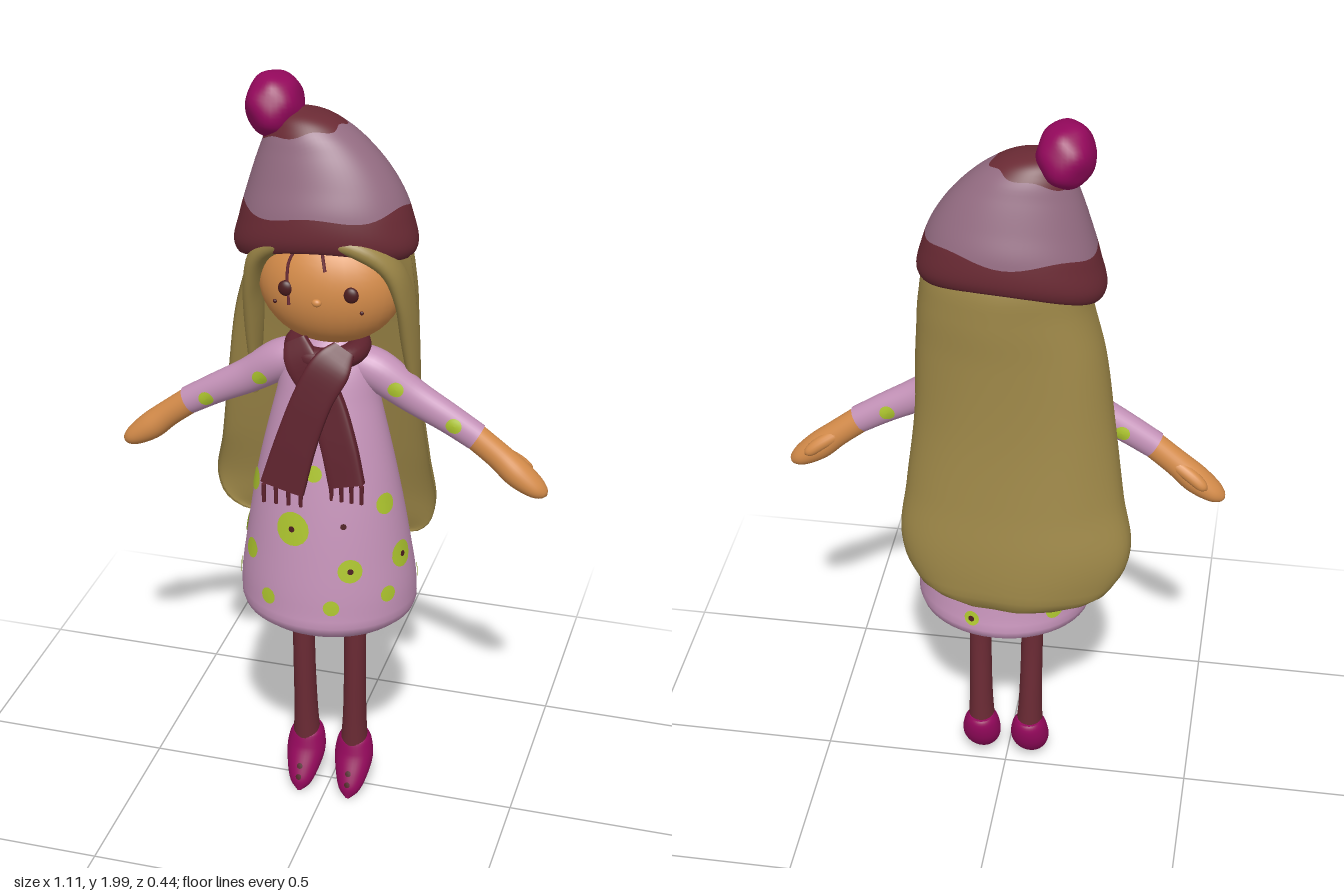
import * as THREE from 'three';

const paint = (name, color) => {
  const m = new THREE.MeshStandardMaterial({ color, side: THREE.DoubleSide });
  m.name = name;
  return m;
};
const skin = paint('skin', 0xd58c4a), blonde = paint('blonde', 0x9c8647), lilac = paint('lilac', 0xc492b8);
const mauve = paint('mauve', 0x946c82), wine = paint('wine', 0x6a2a34), berry = paint('berry', 0x94085c);
const lime = paint('lime', 0xacc42e), dark = paint('dark brown', 0x4a1c1e), scarfRed = paint('scarf red', 0x5e222d);

// Smooth interpolation of rows [t, ...values]
function track(rows) {
  const c = new THREE.CubicInterpolant(rows.map(r => r[0]), rows.flatMap(r => r.slice(1)), rows[0].length - 1);
  return t => [...c.evaluate(t)];
}

// Skin over f(t, a), where a runs around the ring
function loft(f, lo, hi, rows = 24, cols = 32, caps = true) {
  const pos = [], idx = [], at = (v, a) => (typeof v === 'function' ? v(a) : v);
  for (let i = 0; i <= rows; i++) for (let j = 0; j < cols; j++) {
    const a = j / cols * Math.PI * 2;
    pos.push(...f(THREE.MathUtils.lerp(at(lo, a), at(hi, a), i / rows), a).toArray());
  }
  for (let i = 0; i < rows; i++) for (let j = 0; j < cols; j++) {
    const k = (j + 1) % cols, p = i * cols, q = p + cols;
    idx.push(p + j, q + j, p + k, q + j, q + k, p + k);
  }
  if (caps) for (const row of [0, rows]) {
    const base = pos.length / 3, c = new THREE.Vector3();
    for (let j = 0; j < cols; j++) {
      const p = new THREE.Vector3().fromArray(pos, (row * cols + j) * 3);
      c.addScaledVector(p, 1 / cols);
      pos.push(p.x, p.y, p.z);
    }
    pos.push(c.x, c.y, c.z);
    for (let j = 0; j < cols; j++) {
      const k = (j + 1) % cols;
      if (row) idx.push(base + cols, base + k, base + j);
      else idx.push(base + cols, base + j, base + k);
    }
  }
  const g = new THREE.BufferGeometry();
  g.setAttribute('position', new THREE.Float32BufferAttribute(pos, 3));
  g.setIndex(idx);
  g.computeVertexNormals();
  return g;
}

// Tube along points [x, y, z, radius across, radius in depth]; power < 1 squares the section
function sweep(keys, power = 1) {
  const at = track(keys.map((k, i) => [i, ...k])), end = keys.length - 1;
  const sq = v => Math.sign(v) * Math.abs(v) ** power;
  return (t, a) => {
    const [x, y, z, rn, rb] = at(t);
    const p0 = at(Math.max(0, t - 0.05)), p1 = at(Math.min(end, t + 0.05));
    const T = new THREE.Vector3(p1[0] - p0[0], p1[1] - p0[1], p1[2] - p0[2]).normalize();
    const N = T.clone().cross(new THREE.Vector3(0, 0, 1)).normalize(), B = N.clone().cross(T);
    return new THREE.Vector3(x, y, z).addScaledVector(N, rn * sq(Math.cos(a))).addScaledVector(B, rb * sq(Math.sin(a)));
  };
}

// Thin round spot that follows the surface f at (t0, a0)
function spot(f, t0, a0, r, lift = 0.004) {
  const e = 0.01, p = f(t0, a0);
  const ft = f(t0 + e, a0).sub(p).divideScalar(e), fa = f(t0, a0 + e).sub(p).divideScalar(e);
  const n = ft.clone().cross(fa).normalize().multiplyScalar(lift);
  return loft((s, b) => f(t0 + r * s * Math.cos(b) / ft.length(), a0 + r * s * Math.sin(b) / fa.length()).add(n),
    0.001, 1, 3, 16, false);
}

export function createModel() {
  const model = new THREE.Group();
  const add = (name, geo, mat) => {
    const m = new THREE.Mesh(geo, mat);
    m.name = name;
    model.add(m);
    return m;
  };
  const ball = (name, mat, x, y, z, rx, ry, rz) => {
    const m = add(name, new THREE.SphereGeometry(1, 32, 24), mat);
    m.position.set(x, y, z);
    m.scale.set(rx, ry, rz);
    return m;
  };

  // Dress: rows of height, half width, depth centre, half depth
  const dressAt = track([[0.59, 0.2, 0.015, 0.18], [0.61, 0.222, 0.015, 0.203], [0.66, 0.228, 0.018, 0.2], [0.8, 0.212, 0.024, 0.178],
    [1, 0.178, 0.03, 0.138], [1.2, 0.132, 0.025, 0.096], [1.31, 0.105, 0.015, 0.07], [1.36, 0.055, 0.01, 0.04]]);
  const dress = (y, a) => {
    const [rx, cz, rz] = dressAt(y);
    return new THREE.Vector3(rx * Math.cos(a), y, cz + rz * Math.sin(a));
  };
  add('dress', loft(dress, 0.59, 1.36, 40, 48), lilac);
  const dots = [[104, 0.89, 0.045], [142, 0.79, 0.027], [62, 0.79, 0.032], [75, 0.69, 0.021], [119, 0.69, 0.022],
    [17, 0.8, 0.036], [157, 0.965, 0.03], [90, 1.04, 0.022], [35, 0.71, 0.022], [28, 0.95, 0.028], [120, 1.09, 0.02],
    [185, 0.8, 0.035], [168, 0.69, 0.022], [345, 0.69, 0.022], [205, 0.95, 0.03], [230, 0.68, 0.025], [325, 0.8, 0.03], [285, 0.66, 0.02]];
  for (const [deg, y, r] of dots) add('dressDot', spot(dress, y, deg * Math.PI / 180, r), lime);
  for (const [deg, y] of [[104, 0.89], [62, 0.79], [17, 0.8], [66, 0.91], [285, 0.66]])
    add('dotCentre', spot(dress, y, deg * Math.PI / 180, 0.008, 0.007), dark);

  for (const s of [1, -1]) {
    const mirror = keys => keys.map(([x, ...k]) => [x * s, ...k]);
    // Arm with sleeve, hand and thumb
    const sleeve = sweep(mirror([[0.05, 1.3, 0.015, 0.04, 0.045], [0.12, 1.275, 0.015, 0.052, 0.05], [0.21, 1.215, 0.012, 0.045, 0.038],
      [0.3, 1.165, 0.01, 0.039, 0.033], [0.375, 1.12, 0.008, 0.036, 0.031]]));
    add('sleeve', loft(sleeve, 0, 4), lilac);
    for (const t of [1.6, 3.25]) for (const b of [100, 270])
      add('sleeveDot', spot(sleeve, t + (b > 180 ? -0.3 : 0), b * Math.PI / 180, 0.02), lime);
    add('hand', loft(sweep(mirror([[0.365, 1.126, 0.008, 0.034, 0.03], [0.43, 1.075, 0.005, 0.034, 0.032], [0.48, 1.032, 0.004, 0.036, 0.037],
      [0.525, 0.999, 0.003, 0.027, 0.032], [0.548, 0.984, 0.002, 0.015, 0.018], [0.556, 0.979, 0.002, 0.002, 0.002]])), 0, 5), skin);
    add('thumb', loft(sweep(mirror([[0.42, 1.085, -0.005, 0.018, 0.018], [0.47, 1.055, -0.02, 0.018, 0.018],
      [0.5, 1.032, -0.028, 0.014, 0.014], [0.512, 1.022, -0.03, 0.002, 0.002]])), 0, 3, 16, 16), skin);

    // Leg and drooping pointed shoe
    add('leg', loft(sweep(mirror([[0.07, 0.68, 0.017, 0.031, 0.031], [0.07, 0.45, 0.018, 0.029, 0.031],
      [0.068, 0.25, 0.01, 0.031, 0.036], [0.066, 0.13, 0.006, 0.038, 0.04]])), 0, 3), wine);
    const shoe = sweep(mirror([[0.066, 0.178, -0.002, 0.034, 0.036], [0.066, 0.155, 0, 0.046, 0.045], [0.067, 0.11, 0.012, 0.052, 0.045],
      [0.068, 0.063, 0.043, 0.042, 0.036], [0.068, 0.03, 0.068, 0.027, 0.024], [0.068, 0.011, 0.083, 0.004, 0.004]]));
    add('shoe', loft(shoe, 0, 5), berry);
    for (const t of [3, 3.7]) add('shoeButton', spot(shoe, t, Math.PI / 2, 0.008), dark);

    // Face: eye, and hair falling beside it
    ball('eye', dark, 0.081 * s, 1.51, 0.115, 0.019, 0.02, 0.011);
    add('sideLock', loft(sweep(mirror([[-0.01, 1.645, 0.112, 0.012, 0.02], [0.09, 1.625, 0.1, 0.024, 0.028], [0.16, 1.572, 0.064, 0.025, 0.04],
      [0.19, 1.48, 0.025, 0.023, 0.05], [0.2, 1.35, -0.005, 0.022, 0.04], [0.21, 1.15, -0.045, 0.008, 0.02]])), 0, 5), blonde);
  }

  // Head, nose, freckles and loose strands
  ball('head', skin, 0, 1.497, 0, 0.182, 0.16, 0.13);
  ball('nose', skin, 0, 1.487, 0.13, 0.012, 0.01, 0.009);
  for (const [x, y] of [[0.105, 1.462], [-0.112, 1.468]]) ball('freckle', dark, x, y, 0.104, 0.005, 0.005, 0.004);
  const strands = [[[-0.04, 1.635, 0.095], [-0.075, 1.575, 0.108], [-0.072, 1.47, 0.12]], [[0, 1.64, 0.1], [0.008, 1.6, 0.105], [0.018, 1.565, 0.12]]];
  for (const pts of strands)
    add('strand', new THREE.TubeGeometry(new THREE.CatmullRomCurve3(pts.map(p => new THREE.Vector3(...p))), 12, 0.004, 6), wine);

  // Long back hair, a crescent section: height, centre x, half width, z of edges, back and inside
  const hairAt = track([[0.71, -0.04, 0.12, -0.17, -0.2, -0.18], [0.735, -0.04, 0.21, -0.14, -0.215, -0.167], [0.78, -0.04, 0.265, -0.105, -0.217, -0.155],
    [0.86, -0.04, 0.293, -0.085, -0.21, -0.14], [1, -0.033, 0.275, -0.055, -0.187, -0.11], [1.2, -0.028, 0.25, -0.025, -0.16, -0.07],
    [1.4, -0.014, 0.232, 0, -0.145, -0.03], [1.52, 0, 0.212, 0.015, -0.142, 0], [1.62, 0, 0.19, 0.02, -0.13, 0.02], [1.7, 0, 0.12, 0, -0.08, 0.01]]);
  add('backHair', loft((y, a) => {
    const [cx, w, edge, back, inner] = hairAt(y), s = Math.sin(a);
    const ripple = s < 0 ? 0.003 * Math.sin(5 * a + 6 * y) * s : 0;
    return new THREE.Vector3(cx + w * Math.cos(a), y, edge + ((s > 0 ? inner : back) - edge) * Math.abs(s) ** 0.85 + ripple);
  }, 0.71, 1.7, 48, 56), blonde);

  // Leaning knitted hat in three colour bands, with a pompom
  const hatAt = track([[0, -0.015, 1.585, 0.17, 0.11], [0.05, -0.017, 1.562, 0.205, 0.132], [0.13, -0.017, 1.585, 0.227, 0.147], [0.3, -0.016, 1.66, 0.214, 0.145],
    [0.5, -0.02, 1.74, 0.187, 0.123], [0.7, -0.035, 1.82, 0.145, 0.098], [0.85, -0.055, 1.878, 0.1, 0.075], [0.95, -0.072, 1.911, 0.055, 0.043], [1, -0.08, 1.922, 0.006, 0.006]]);
  const hat = (t, a) => {
    const [cx, y, rx, rz] = hatAt(t), c = Math.cos(a), s = Math.sin(a);
    return new THREE.Vector3(cx + rx * c, y + (1 - t) * (0.05 * s * s + 0.015 * c), -0.01 + rz * s);
  };
  const brimTop = a => 0.39 - 0.1 * Math.sin(a) ** 2 + 0.02 * Math.sin(5 * a);
  const crownStart = a => 0.83 + 0.05 * Math.cos(a) + 0.012 * Math.sin(6 * a);
  add('hatBrim', loft(hat, 0, brimTop, 20, 64, false), wine);
  add('hatBody', loft(hat, brimTop, crownStart, 20, 64, false), mauve);
  add('hatCrown', loft(hat, crownStart, 1, 12, 64), wine);
  const pompom = ball('pompom', berry, -0.143, 1.921, -0.017, 0.07, 0.08, 0.083);
  const pp = pompom.geometry.attributes.position, v = new THREE.Vector3();
  for (let i = 0; i < pp.count; i++) {
    v.fromBufferAttribute(pp, i);
    v.multiplyScalar(1 + 0.05 * Math.sin(4 * v.x + 1) * Math.sin(5 * v.y) * Math.cos(4 * v.z));
    pp.setXYZ(i, v.x, v.y, v.z);
  }
  pompom.geometry.computeVertexNormals();

  // Scarf: collar, two crossing tails and fringes
  const collar = add('scarfCollar', new THREE.TorusGeometry(0.078, 0.03, 16, 40), scarfRed);
  collar.rotation.x = Math.PI / 2 + 0.1;
  collar.scale.set(1, 0.95, 0.95);
  collar.position.set(0, 1.336, 0.032);
  const tails = [
    [[0.06, 1.36, 0.1, 0.03, 0.012], [0.035, 1.32, 0.13, 0.05, 0.015], [-0.005, 1.24, 0.147, 0.05, 0.015], [-0.045, 1.12, 0.16, 0.052, 0.015], [-0.077, 0.997, 0.172, 0.057, 0.014]],
    [[-0.065, 1.365, 0.09, 0.03, 0.012], [-0.04, 1.32, 0.115, 0.045, 0.014], [0.02, 1.23, 0.126, 0.045, 0.014], [0.06, 1.12, 0.146, 0.046, 0.014], [0.085, 1.02, 0.16, 0.046, 0.014]]];
  for (const tail of tails) {
    add('scarfTail', loft(sweep(tail, 0.4), 0, 4, 24, 40), scarfRed);
    const [x, y, z, w] = tail[4];
    for (let i = 0; i < 4; i++) {
      const tassel = add('tassel', new THREE.CylinderGeometry(0.006, 0.005, 0.05, 8), scarfRed);
      tassel.position.set(x + w * (i - 1.5) * 0.56, y - 0.02, z + 0.004);
    }
  }
  return model;
}
